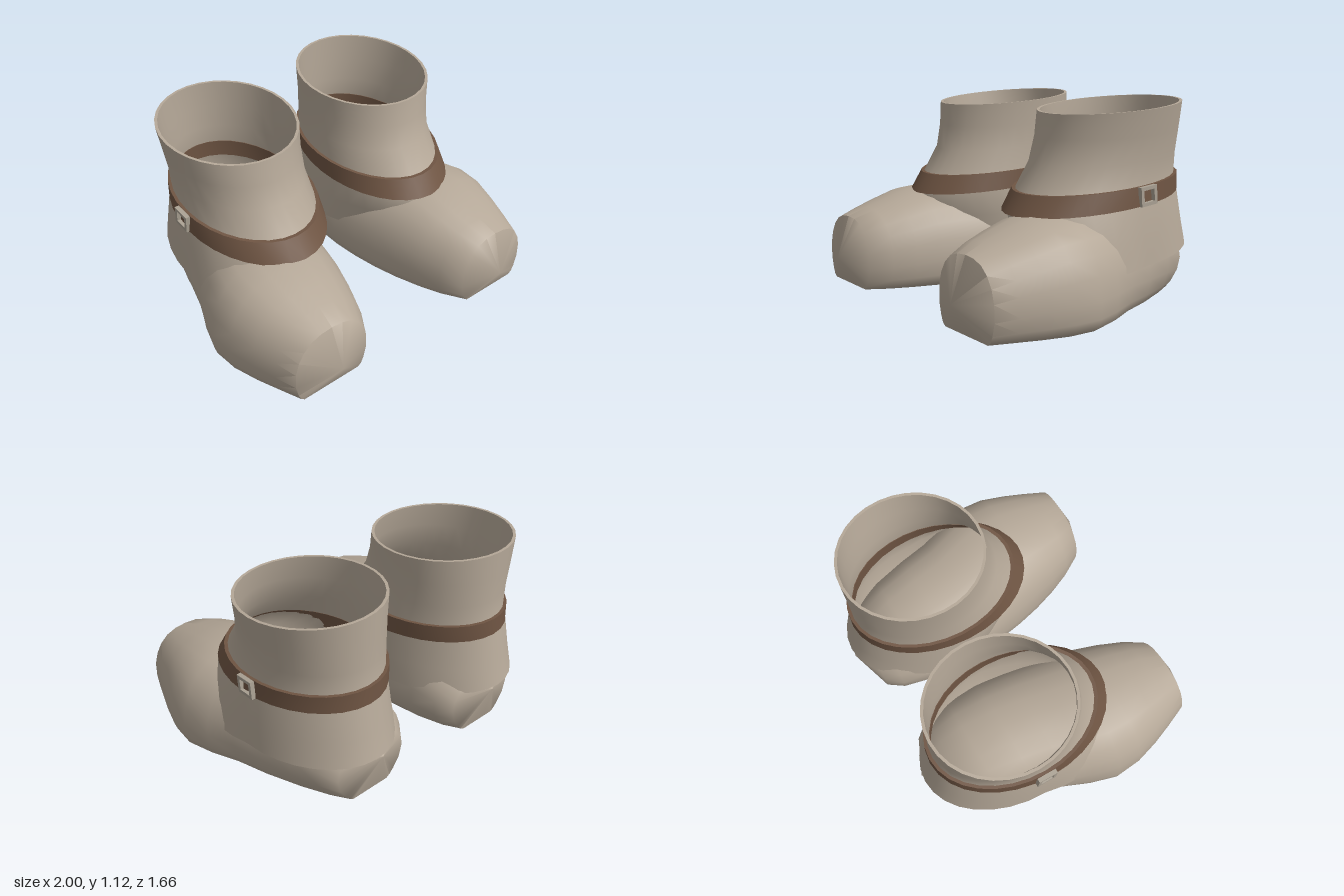
import * as THREE from 'three';
import { toCreasedNormals } from 'three/addons/utils/BufferGeometryUtils.js';

const SEG = 32;

// Skin a list of equal-length closed rings; side = -1 mirrors across x
function loft(rings, side) {
  const n = rings[0].length, pos = [], idx = [];
  rings.forEach(r => r.forEach(p => pos.push(p[0] * side, p[1], p[2])));
  for (let i = 0; i < rings.length - 1; i++) {
    for (let j = 0; j < n; j++) {
      const a = i * n + j, b = i * n + (j + 1) % n, c = a + n, d = b + n;
      if (side > 0) idx.push(a, c, b, b, c, d);
      else idx.push(a, b, c, b, d, c);
    }
  }
  const g = new THREE.BufferGeometry();
  g.setAttribute('position', new THREE.Float32BufferAttribute(pos, 3));
  g.setIndex(idx);
  return toCreasedNormals(g, 0.87);
}

// Tilted oval: front z, back z, inner x, outer x, front y, back y, outward swing of the front half
function oval([zf, zb, x0, x1, yf, yb, swing = 0], grow = 0) {
  const pts = [];
  for (let j = 0; j < SEG; j++) {
    const t = j / SEG * Math.PI * 2, s = Math.sin(t);
    const reach = ((zf - zb) / 2 + grow) * s;
    pts.push([
      (x0 + x1) / 2 + ((x1 - x0) / 2 + grow) * Math.cos(t) + swing * Math.max(0, reach),
      yf + (yb - yf) * (1 - s) / 2,
      (zf + zb) / 2 + reach]);
  }
  return pts;
}

// Half outline of a foot section: sideways 0..1, height 0..1, from top to sole
const half = [[0, 1], [0.28, 0.985], [0.53, 0.93], [0.72, 0.83], [0.86, 0.69], [0.95, 0.52],
  [1, 0.3], [0.985, 0.13], [0.95, 0.04], [0.87, 0], [0.4, 0], [0, 0]];
const outline = [...half, ...half.slice(1, -1).reverse().map(([u, v]) => [-u, v])];

// Foot stations from heel to toe: z, inner x, outer x, height (the rear top sits inside the upper)
const stations = [[-0.74, 0.18, 0.69, 0.36], [-0.65, 0.12, 0.755, 0.46], [-0.5, 0.09, 0.81, 0.52],
  [-0.3, 0.085, 0.86, 0.54], [-0.12, 0.105, 0.895, 0.54], [0.04, 0.13, 0.955, 0.545],
  [0.2, 0.16, 1.0, 0.55], [0.35, 0.195, 0.99, 0.537], [0.5, 0.24, 0.95, 0.495],
  [0.63, 0.29, 0.905, 0.455], [0.75, 0.36, 0.86, 0.41]];

// Upper from its lower lip to the opening
const upper = [[0.33, -0.83, 0.068, 0.88, 0.21, 0.3, 0.24], [0.34, -0.795, 0.075, 0.87, 0.39, 0.44, 0.15],
  [0.33, -0.765, 0.088, 0.85, 0.525, 0.61, 0.03], [0.26, -0.74, 0.1, 0.83, 0.635, 0.71],
  [0.16, -0.735, 0.11, 0.825, 0.78, 0.83], [0.12, -0.735, 0.11, 0.845, 0.92, 0.97],
  [0.1, -0.735, 0.1, 0.87, 1.055, 1.125]];

function footGeometry(side) {
  const rings = stations.map(([z, x0, x1, h]) => {
    const tuck = 0.45 * ((0.2 - z) / 0.94) ** 2;    // sole narrows toward heel and toe
    return outline.map(([u, v]) => {
      const w = u * (1 - tuck * Math.max(0, 1 - v * h / 0.28) ** 2);
      return [(x0 + x1) / 2 + w * (x1 - x0) / 2, v * h, z];
    });
  });
  const heel = outline.map(() => [0.43, 0.29, -0.83]);
  const toe = outline.map(() => [0.6, 0.17, 0.835]);
  return loft([heel, ...rings, toe], side);
}

function upperGeometry(side) {
  const lip = oval(upper[0], -0.09);                           // tucked underside of the lip
  const outside = upper.map(r => oval(r));
  const lining = upper.slice(1).reverse().map(r => oval(r, -0.016));
  return loft([lip, ...outside, ...lining, lip], side);
}

function strapGeometry(side) {
  const low = [0.335, -0.745, 0.095, 0.84, 0.53, 0.62];
  const high = [0.26, -0.74, 0.1, 0.83, 0.64, 0.72];
  return loft([oval(low, -0.02), oval(low, 0.018), oval(high, 0.018),
    oval(high, -0.02), oval(low, -0.02)], side);
}

function buckleGeometry() {
  const square = (S, w, h) => new S([[-w, -h], [w, -h], [w, h], [-w, h]].map(p => new THREE.Vector2(...p)));
  const frame = square(THREE.Shape, 0.058, 0.052);
  frame.holes.push(square(THREE.Path, 0.038, 0.033));
  return new THREE.ExtrudeGeometry(frame, { depth: 0.025, bevelEnabled: false });
}

export function createModel() {
  const mat = (name, color) => {
    const m = new THREE.MeshStandardMaterial({ color });
    m.name = name;
    return m;
  };
  const leather = mat('taupe leather', 0xb5a898);
  const brown = mat('brown strap leather', 0x6f5543);
  const metal = mat('dull buckle metal', 0xaaa193);
  leather.side = THREE.DoubleSide;

  const model = new THREE.Group();
  model.name = 'ankleBoots';
  for (const side of [1, -1]) {
    const boot = new THREE.Group();
    boot.name = side > 0 ? 'leftBoot' : 'rightBoot';
    const add = (name, geometry, material) => {
      const mesh = new THREE.Mesh(geometry, material);
      mesh.name = name;
      boot.add(mesh);
      return mesh;
    };
    add('foot', footGeometry(side), leather);
    add('upper', upperGeometry(side), leather);
    add('strap', strapGeometry(side), brown);

    // Buckle lies on the outer side, tilted with the strap
    const buckle = add('buckle', buckleGeometry(), metal);
    buckle.position.set(side * 0.848, 0.63, -0.25);
    buckle.rotation.set(0, side * Math.PI / 2, side * 0.085);
    model.add(boot);
  }
  return model;
}
